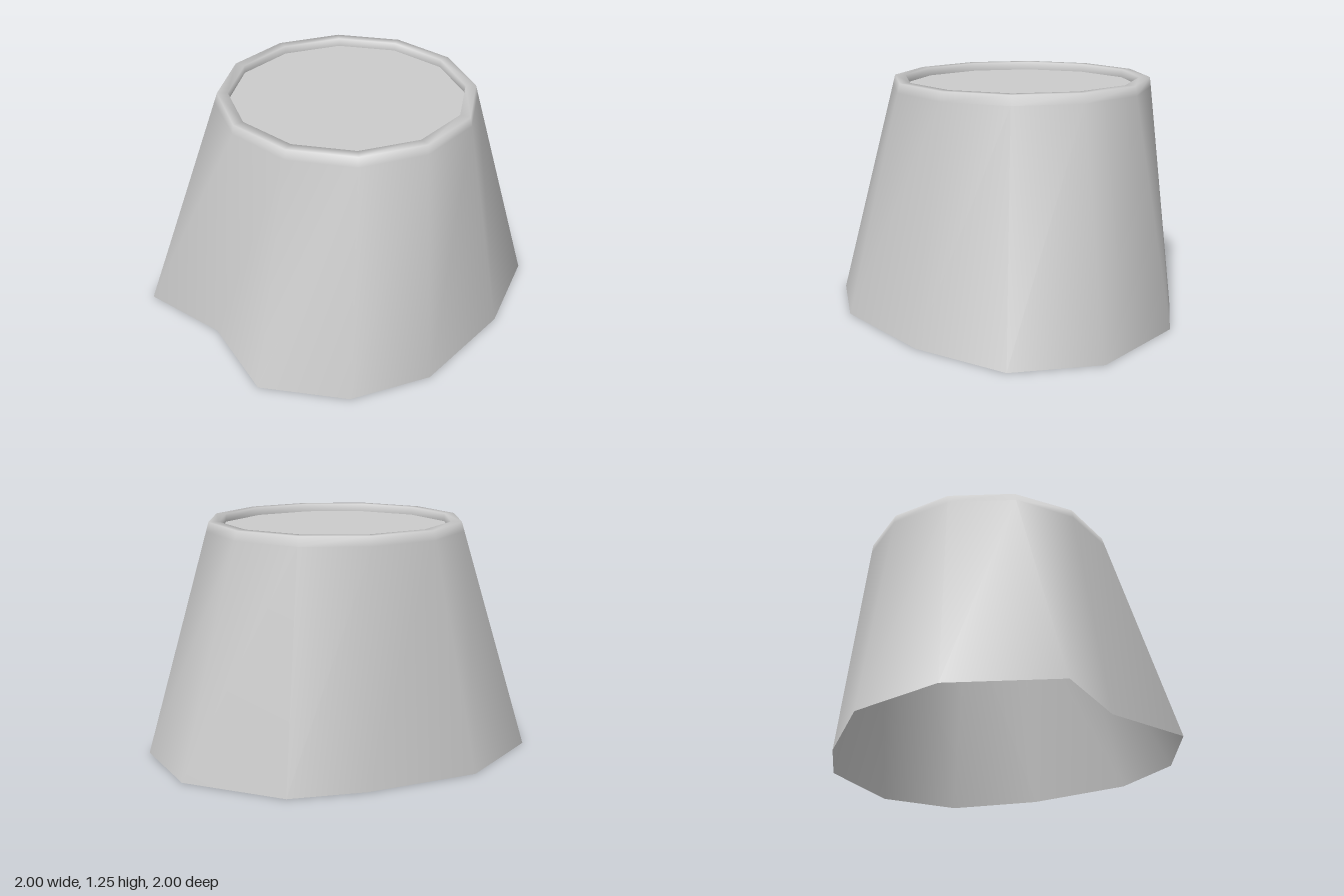
import * as THREE from 'three';

// Outline of the flared foot (x, z), clockwise from the back
const foot = [
  [0.055, -1], [0.63, -0.94], [0.97, -0.6], [0.995, -0.065], [0.835, 0.53], [0.525, 0.862],
  [0.055, 1], [-0.37, 0.718], [-0.863, 0.63], [-1, 0.057], [-0.8, -0.455], [-0.312, -0.82],
];
const SIDES = foot.length;
const CX = 0.055, CZ = -0.063; // centre of the top
const R_OUT = 0.694, R_IN = 0.637, TOP = 1.255, FLOOR = 1.21;

// Regular ring around the top axis
const ring = (r, y) => foot.map((_, i) => {
  const a = (i / SIDES) * Math.PI * 2;
  return [CX + r * Math.sin(a), y, CZ - r * Math.cos(a)];
});

// Skin a list of rings into one smooth surface
function loft(rings) {
  const index = [];
  for (let j = 0; j < rings.length - 1; j++) {
    for (let i = 0; i < SIDES; i++) {
      const n = (i + 1) % SIDES;
      const a = j * SIDES + i, b = j * SIDES + n, c = a + SIDES, d = b + SIDES;
      index.push(a, c, b, b, c, d);
    }
  }
  const g = new THREE.BufferGeometry();
  g.setAttribute('position', new THREE.Float32BufferAttribute(rings.flat(2), 3));
  g.setIndex(index);
  g.computeVertexNormals();
  return g;
}

export function createModel() {
  const grey = new THREE.MeshStandardMaterial({ color: 0xcccccc, side: THREE.DoubleSide });
  grey.name = 'plain grey';
  const group = new THREE.Group();
  group.name = 'stump';

  // Flared wall, open below, turning over a narrow rim into a shallow recess
  const base = foot.map(([x, z]) => [x, 0, z]);
  const edge = ring(R_OUT, TOP);
  const shoulder = base.map((p, i) => p.map((v, k) => THREE.MathUtils.lerp(v, edge[i][k], 0.96)));
  const wall = new THREE.Mesh(
    loft([base, shoulder, edge, ring(R_IN, TOP), ring(R_IN, FLOOR)]), grey);
  wall.name = 'wallAndRim';

  // Flat recessed top
  const disc = new THREE.CircleGeometry(R_IN, SIDES);
  disc.rotateX(-Math.PI / 2);
  const top = new THREE.Mesh(disc, grey);
  top.name = 'recessedTop';
  top.position.set(CX, FLOOR, CZ);

  group.add(wall, top);
  return group;
}
